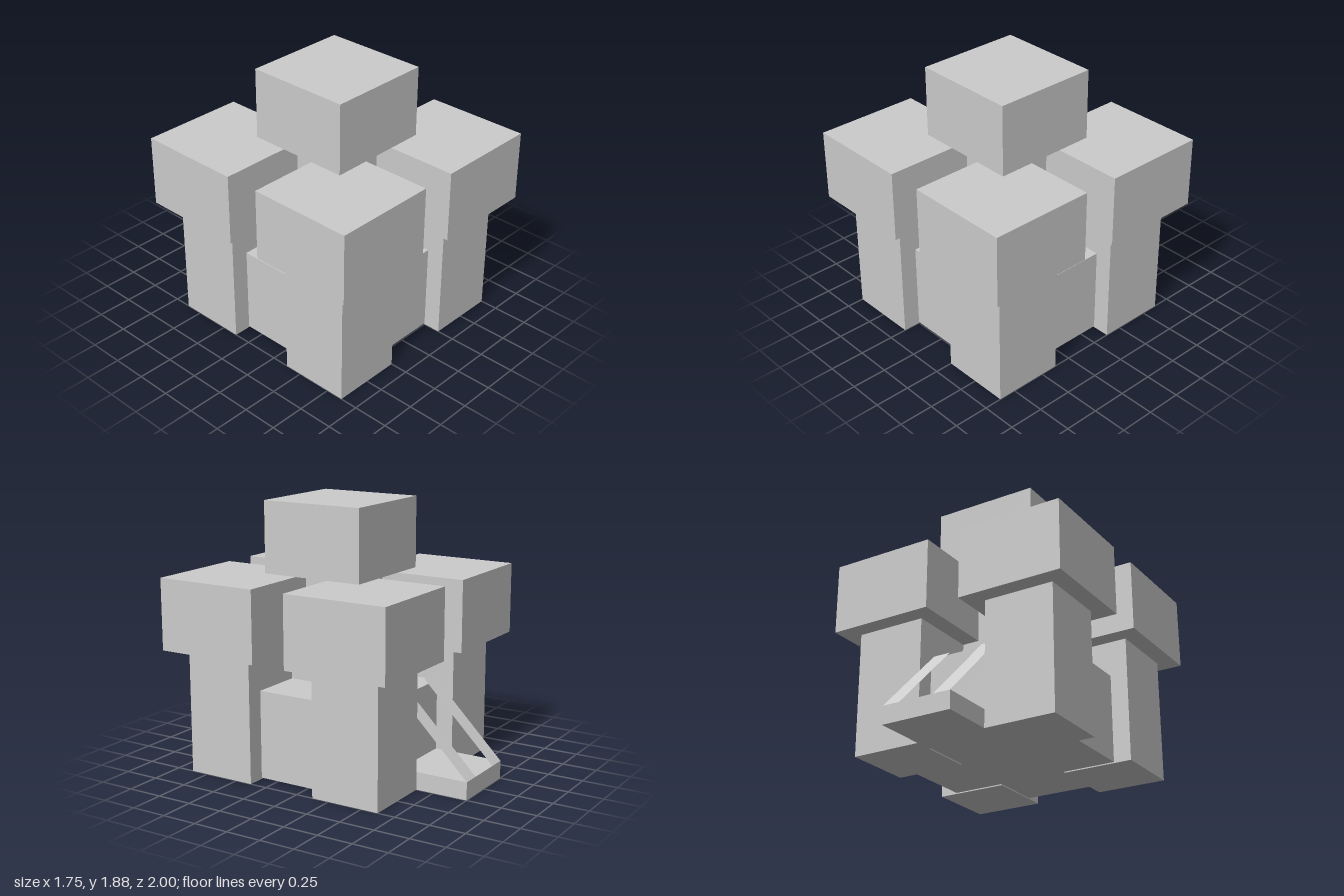
import * as THREE from 'three';

export function createModel() {
  const model = new THREE.Group();
  model.name = 'castle';

  const stone = new THREE.MeshStandardMaterial({ color: 0xcccccc });
  stone.name = 'stone';
  const rampStone = stone.clone(); // same colour, visible from both sides
  rampStone.name = 'thin stone';
  rampStone.side = THREE.DoubleSide;

  // Box given by its centre in plan, its footprint and its bottom and top
  function block(name, x, z, width, depth, bottom, top, parent = model) {
    const mesh = new THREE.Mesh(new THREE.BoxGeometry(width, top - bottom, depth), stone);
    mesh.name = name;
    mesh.position.set(x, (bottom + top) / 2, z);
    parent.add(mesh);
    return mesh;
  }

  // A slim shaft carrying a wide, overhanging head
  function tower(name, x, z, bottom, overhang, top) {
    const group = new THREE.Group();
    group.name = name;
    block('shaft', x, z, 0.5, 0.5, bottom, overhang, group);
    block('towerHead', x, z, 0.75, 0.75, overhang, top, group);
    model.add(group);
  }

  const midZ = 0.125;

  // Walled body between the towers, a hair above the ground
  block('walls', 0, midZ, 1.25, 1.25, 0.008, 0.625);

  // Central keep and four corner towers
  tower('keep', 0, midZ, 0.625, 1.375, 1.875);
  for (const sx of [-1, 1]) {
    for (const sz of [-1, 1]) {
      const name = (sz > 0 ? 'front' : 'back') + (sx > 0 ? 'Left' : 'Right') + 'Tower';
      tower(name, sx * 0.5, midZ + sz * 0.5, 0, 0.875, 1.375);
    }
  }

  // Lowered drawbridge at the back
  block('drawbridge', 0, -0.75, 0.5, 0.5, 0, 0.125);

  // Flat straps rising at 45 degrees from the bridge's outer edge to the wall top
  const length = 0.75;
  const run = length * Math.SQRT1_2;
  for (const sx of [-1, 1]) {
    const strap = new THREE.Mesh(new THREE.PlaneGeometry(0.125, length), rampStone);
    strap.name = sx > 0 ? 'leftBridgeStrap' : 'rightBridgeStrap';
    strap.rotation.set(Math.PI / 4, Math.PI, 0, 'XYZ');
    strap.position.set(sx * 0.1875, 0.125 + run / 2, -1 + run / 2);
    model.add(strap);
  }

  return model;
}
